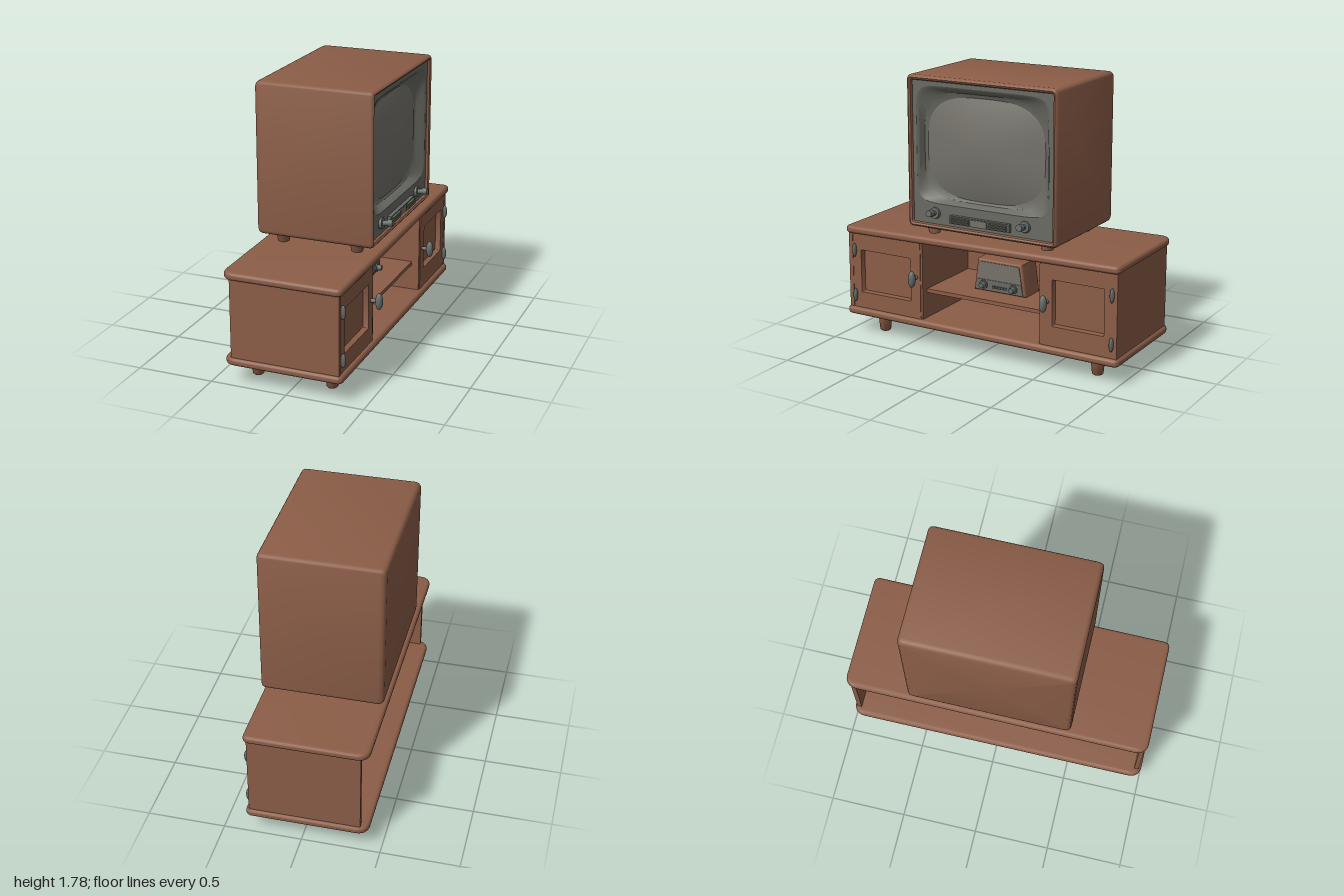
import * as THREE from 'three';
import { toCreasedNormals } from 'three/addons/utils/BufferGeometryUtils.js';

const material = (name, color) => {
  const m = new THREE.MeshStandardMaterial({ color });
  m.name = name;
  return m;
};

// Rounded rectangle loop between two corners, counterclockwise seen from +z
function rectLoop(x0, x1, y0, y1, r, z, seg = 5) {
  const corners = [[x1 - r, y1 - r], [x0 + r, y1 - r], [x0 + r, y0 + r], [x1 - r, y0 + r]];
  const pts = [];
  corners.forEach(([cx, cy], q) => {
    for (let i = 0; i <= seg; i++) {
      const a = (q + i / seg) * Math.PI / 2;
      pts.push(new THREE.Vector3(cx + r * Math.cos(a), cy + r * Math.sin(a), z));
    }
  });
  return pts;
}

// Superellipse loop: a high power is squarer
function superLoop(cx, cy, rx, ry, power, z, n = 64) {
  const f = v => Math.sign(v) * Math.abs(v) ** (2 / power);
  return Array.from({ length: n }, (_, i) => {
    const a = (i + 0.5) / n * Math.PI * 2;
    return new THREE.Vector3(cx + rx * f(Math.cos(a)), cy + ry * f(Math.sin(a)), z);
  });
}

// Skin over successive loops, with optional end caps
function loft(loops, capStart, capEnd, crease = 0.6) {
  const n = loops[0].length, pos = [], index = [];
  loops.forEach(l => l.forEach(p => pos.push(p.x, p.y, p.z)));
  for (let i = 0; i < loops.length - 1; i++) {
    for (let j = 0; j < n; j++) {
      const a = i * n + j, b = i * n + (j + 1) % n;
      index.push(a, b, b + n, a, b + n, a + n);
    }
  }
  const cap = (row, flip) => {
    const c = loops[row].reduce((s, p) => s.add(p), new THREE.Vector3()).divideScalar(n);
    const k = pos.length / 3;
    pos.push(c.x, c.y, c.z);
    for (let j = 0; j < n; j++) {
      const a = row * n + j, b = row * n + (j + 1) % n;
      index.push(k, flip ? b : a, flip ? a : b);
    }
  };
  if (capStart) cap(0, true);
  if (capEnd) cap(loops.length - 1, false);
  const g = new THREE.BufferGeometry();
  g.setAttribute('position', new THREE.Float32BufferAttribute(pos, 3));
  g.setIndex(index);
  return toCreasedNormals(g, crease);
}

const shapeOf = pts => new THREE.Shape(pts.map(p => new THREE.Vector2(p.x, p.y)));
const trapezoid = (x0, x1, y0, y1, inset) => new THREE.Shape(
  [[x0, y0], [x1, y0], [x1 - inset, y1], [x0 + inset, y1]].map(p => new THREE.Vector2(...p)));

export function createModel() {
  const wood = material('brown wood', 0x8b5d47);
  const bezelGrey = material('bezel grey', 0x696a62);
  const glass = material('screen grey', 0x74726a);
  const metal = material('fitting grey', 0x656a66);

  const model = new THREE.Group();
  model.name = 'televisionOnCabinet';
  const group = name => {
    const g = new THREE.Group();
    g.name = name;
    model.add(g);
    return g;
  };
  const add = (parent, name, geo, mat, x = 0, y = 0, z = 0) => {
    const m = new THREE.Mesh(geo, mat);
    m.name = name;
    m.position.set(x, y, z);
    parent.add(m);
    return m;
  };
  // Box between opposite corners
  const box = (parent, name, mat, x0, x1, y0, y1, z0, z1) => add(parent, name,
    new THREE.BoxGeometry(x1 - x0, y1 - y0, z1 - z0), mat, (x0 + x1) / 2, (y0 + y1) / 2, (z0 + z1) / 2);
  // Round rod pointing forward
  const rod = (parent, name, r0, r1, x, y, z0, z1) => add(parent, name,
    new THREE.CylinderGeometry(r1, r0, z1 - z0, 20).rotateX(Math.PI / 2), metal, x, y, (z0 + z1) / 2);

  // ---- Cabinet ----
  const cabinet = group('cabinet');
  const board = () => {
    const f = 0.34, b = -0.40, w = 0.98, rb = 0.06, rf = 0.02;
    const s = new THREE.Shape();
    s.moveTo(-w + rf, -f);
    s.lineTo(w - rf, -f);
    s.quadraticCurveTo(w, -f, w, -f + rf);
    s.lineTo(w, -b - rb);
    s.quadraticCurveTo(w, -b, w - rb, -b);
    s.lineTo(-w + rb, -b);
    s.quadraticCurveTo(-w, -b, -w, -b - rb);
    s.lineTo(-w, -f + rf);
    s.quadraticCurveTo(-w, -f, -w + rf, -f);
    const g = new THREE.ExtrudeGeometry(s, {
      depth: 0.01, bevelThickness: 0.02, bevelSize: 0.02, bevelSegments: 4, curveSegments: 8 });
    return toCreasedNormals(g.translate(0, 0, -0.005).rotateX(-Math.PI / 2), 0.6);
  };
  add(cabinet, 'topBoard', board(), wood, 0, 0.72, 0).rotation.z = 0.0115;
  add(cabinet, 'bottomBoard', board(), wood, 0, 0.148, 0).rotation.z = -0.004;
  for (const s of [-1, 1]) {
    box(cabinet, 'endWall', wood, s * 0.968 - 0.015, s * 0.968 + 0.015, 0.16, 0.71, -0.37, 0.338);
  }

  // Open niche with a shelf
  box(cabinet, 'nicheWall', wood, -0.43, -0.41, 0.16, 0.71, -0.23, 0.33);
  box(cabinet, 'nicheWall', wood, 0.45, 0.47, 0.16, 0.71, -0.23, 0.33);
  box(cabinet, 'nicheBack', wood, -0.43, 0.47, 0.16, 0.71, -0.245, -0.225);
  box(cabinet, 'shelf', wood, -0.415, 0.455, 0.345, 0.37, -0.23, 0.28);

  // Doors with sunken panels, knobs and hinges
  const door = (x0, x1, p0, p1, y0, y1, knobX, hingeX) => {
    add(cabinet, 'door', loft([
      rectLoop(x0, x1, 0.16, 0.705, 0.004, 0.285), rectLoop(x0, x1, 0.16, 0.705, 0.004, 0.335),
      rectLoop(p0, p1, y0, y1, 0.004, 0.335), rectLoop(p0 + 0.005, p1 - 0.005, y0 + 0.005, y1 - 0.005, 0.004, 0.3),
    ], true, true), wood);
    rod(cabinet, 'doorKnobStem', 0.013, 0.013, knobX, 0.455, 0.33, 0.39);
    add(cabinet, 'doorKnob', new THREE.SphereGeometry(1, 20, 14).scale(0.025, 0.055, 0.024), metal, knobX, 0.455, 0.388);
    for (const y of [0.26, 0.57]) {
      add(cabinet, 'hinge', new THREE.SphereGeometry(1, 14, 10).scale(0.014, 0.046, 0.017), metal, hingeX, y, 0.345);
    }
  };
  door(-0.96, -0.425, -0.89, -0.5, 0.285, 0.575, -0.455, -0.935);
  door(0.465, 0.96, 0.54, 0.895, 0.3, 0.6, 0.505, 0.95);

  // Tapered feet with rounded bottoms
  const foot = [[0, 0], [0.028, 0], [0.036, 0.008], [0.048, 0.13]].map(p => new THREE.Vector2(...p));
  for (const x of [-0.79, 0.8]) for (const z of [-0.28, 0.215]) {
    add(cabinet, 'cabinetFoot', toCreasedNormals(new THREE.LatheGeometry(foot, 20), 0.9), wood, x, 0, z);
  }

  // ---- Small radio on the shelf ----
  const radio = group('radio');
  const radioBody = new THREE.ExtrudeGeometry(trapezoid(-0.125, 0.225, 0.387, 0.57, 0.025), {
    depth: 0.16, bevelThickness: 0.015, bevelSize: 0.015, bevelSegments: 4 });
  add(radio, 'radioBody', toCreasedNormals(radioBody, 0.6), wood, 0, 0, -0.04);
  const plate = (name, shape, mat, z) => add(radio, name,
    new THREE.ExtrudeGeometry(shape, { depth: 0.006, bevelEnabled: false }), mat, 0, 0, z);
  plate('radioGrille', trapezoid(-0.113, 0.213, 0.455, 0.57, 0.018), glass, 0.134);
  plate('radioControlPlate', trapezoid(-0.123, 0.223, 0.386, 0.452, 0.01), bezelGrey, 0.134);
  for (const x of [-0.065, 0.155]) {
    rod(radio, 'radioKnobBase', 0.03, 0.028, x, 0.418, 0.135, 0.148);
    rod(radio, 'radioKnob', 0.02, 0.017, x, 0.418, 0.148, 0.175);
  }
  for (let i = 0; i < 5; i++) {
    const x = 0.01 + i * 0.022;
    box(radio, 'radioButton', metal, x - 0.008, x + 0.008, 0.405, 0.42, 0.138, 0.15);
  }

  // ---- Television ----
  const tv = group('television');
  const shell = (inset, r, z) => rectLoop(-0.495 + inset, 0.575 - inset, 0.802 + inset, 1.78 - inset, r, z);
  add(tv, 'televisionCase', loft([
    shell(0.03, 0.02, -0.415), shell(0.016, 0.026, -0.411), shell(0.005, 0.03, -0.4), shell(0, 0.03, -0.38),
    shell(0, 0.03, 0.335), shell(0.006, 0.026, 0.35), shell(0.016, 0.02, 0.357),
    shell(0.028, 0.014, 0.35), shell(0.034, 0.01, 0.335), shell(0.034, 0.01, 0.24),
  ], true, true), wood);

  // Bezel, its sloping surround and the bulging screen
  const face = shapeOf(rectLoop(-0.462, 0.542, 0.835, 1.747, 0.01, 0));
  const opening = z => superLoop(0.04, 1.345, 0.475, 0.375, 9, z);
  face.holes.push(shapeOf(opening(0)));
  add(tv, 'bezel', new THREE.ExtrudeGeometry(face, { depth: 0.02, bevelEnabled: false }), bezelGrey, 0, 0, 0.315);
  add(tv, 'screenSurround', loft([
    opening(0.335), superLoop(0.04, 1.34, 0.46, 0.362, 8, 0.325),
    superLoop(0.035, 1.335, 0.44, 0.345, 4.5, 0.285), superLoop(0.035, 1.33, 0.42, 0.325, 3, 0.275),
  ], false, false), bezelGrey);
  const rings = [1, 0.9, 0.75, 0.55, 0.3, 0.1];
  add(tv, 'screen', loft(rings.map(k =>
    superLoop(0.035, 1.33, 0.425 * k, 0.33 * k, 2 + k, 0.275 + 0.055 * (1 - k * k))), false, true, 1), glass);

  // Controls under the screen
  for (const x of [-0.3, 0.35]) {
    const knob = new THREE.Group();
    knob.name = 'tuningKnob';
    knob.position.set(x, 0.908, 0.335);
    knob.rotation.x = -0.15;
    tv.add(knob);
    rod(knob, 'knobBase', 0.038, 0.034, 0, 0, -0.005, 0.018);
    rod(knob, 'knobShaft', 0.017, 0.017, 0, 0, 0.018, 0.05);
    rod(knob, 'knobTip', 0.024, 0.021, 0, 0, 0.05, 0.083);
  }
  box(tv, 'controlPanel', metal, -0.18, 0.25, 0.86, 0.912, 0.33, 0.36);
  box(tv, 'dialWindow', glass, -0.02, 0.09, 0.866, 0.906, 0.358, 0.366);
  for (const x of [-0.1, 0.17]) for (const y of [0.873, 0.887, 0.901]) {
    box(tv, 'controlSlat', bezelGrey, x - 0.065, x + 0.065, y - 0.004, y + 0.004, 0.358, 0.374);
  }

  // Short splayed feet
  for (const [x, s] of [[-0.39, -1], [0.445, 1]]) for (const z of [-0.28, 0.215]) {
    add(tv, 'televisionFoot', new THREE.CylinderGeometry(0.05, 0.034, 0.085, 20), wood, x, 0.778, z)
      .rotation.z = -s * 0.2;
  }

  // The screen looks along +x
  model.rotation.y = Math.PI / 2;
  const root = new THREE.Group();
  root.name = 'furniture';
  root.add(model);
  return root;
}
